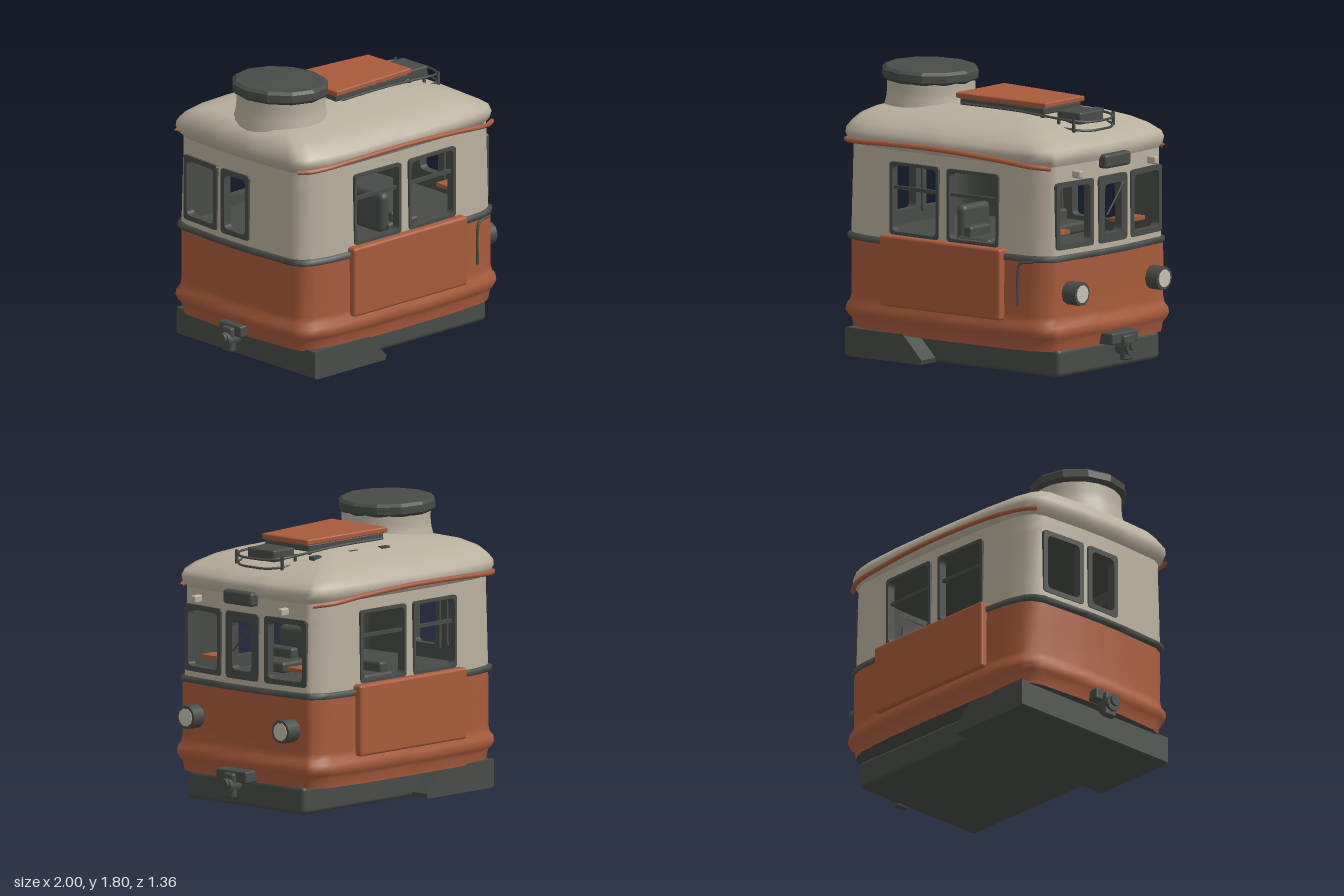
import * as THREE from 'three';
import { RoundedBoxGeometry } from 'three/addons/geometries/RoundedBoxGeometry.js';

const mat = (name, color) => Object.assign(new THREE.MeshStandardMaterial({ color }), { name });

// Half plan of the car body [x, z], from the cab end (+x) to the rear (-x)
const HALF = [
  [.835, 0], [.833, .13], [.828, .2], [.802, .52], [.78, .55], [.73, .587], [.66, .612], [.41, .632], [.02, .64],
  [-.07, .64], [-.45, .635], [-.66, .62], [-.78, .59], [-.84, .55], [-.868, .49], [-.888, .18], [-.89, .12], [-.892, 0],
];
const PLAN = [...HALF, ...HALF.slice(1, -1).reverse().map(([x, z]) => [x, -z])];
const N = PLAN.length;

// Window openings as station ranges
const SIDE_WINDOWS = [[7, 8], [9, 10], [24, 25], [26, 27]];
const CAB_WINDOWS = [[2, 3], [31, 32]], CENTRE_WINDOW = [33, 35];
const REAR_WINDOWS = [[16, 18], [19, 20]];
const END_WINDOWS = [...CAB_WINDOWS, CENTRE_WINDOW, ...REAR_WINDOWS];
const inRanges = (ranges, i) => ranges.some(([s, e]) => (i >= s && i < e) || (i + N >= s && i + N < e));

// Skin through scaled copies of the plan; rings are [y, scaleX, scaleZ, shiftX]
function loft(rings, { inward = false, skip = () => false } = {}) {
  const pos = [], idx = [];
  for (const [y, sx, sz, dx = 0] of rings) for (const [x, z] of PLAN) pos.push(x * sx + dx, y, z * sz);
  for (let j = 0; j < rings.length - 1; j++) for (let i = 0; i < N; i++) {
    if (skip(i, j)) continue;
    const a = j * N + i, b = j * N + (i + 1) % N, c = a + N, d = b + N;
    if (inward) idx.push(a, b, c, b, d, c);
    else idx.push(a, c, b, b, c, d);
  }
  const g = new THREE.BufferGeometry();
  g.setAttribute('position', new THREE.Float32BufferAttribute(pos, 3));
  g.setIndex(idx);
  g.computeVertexNormals();
  return g;
}

// Rounded rectangle outline centred on the origin
function roundRect(path, w, h, r) {
  const x = w / 2, y = h / 2;
  path.moveTo(-x + r, -y);
  path.lineTo(x - r, -y).quadraticCurveTo(x, -y, x, -y + r);
  path.lineTo(x, y - r).quadraticCurveTo(x, y, x - r, y);
  path.lineTo(-x + r, y).quadraticCurveTo(-x, y, -x, y - r);
  path.lineTo(-x, -y + r).quadraticCurveTo(-x, -y, -x + r, -y);
  return path;
}

export function createModel() {
  const car = new THREE.Group();
  car.name = 'tramCar';
  const cream = mat('cream paint', 0xb9af9d);
  const orange = mat('burnt orange paint', 0xa85b3b);
  const dark = mat('dark grey metal', 0x484b47);
  const lens = mat('lamp glass', 0xc4bfb2);

  const add = (name, geo, material, x = 0, y = 0, z = 0, parent = car) => {
    const m = new THREE.Mesh(geo, material);
    m.name = name;
    m.position.set(x, y, z);
    parent.add(m);
    return m;
  };
  const box = (name, material, w, h, d, x, y, z, r = 0) =>
    add(name, r ? new RoundedBoxGeometry(w, h, d, 2, r) : new THREE.BoxGeometry(w, h, d), material, x, y, z);
  const tube = (name, material, pts, r) => add(name, new THREE.TubeGeometry(
    new THREE.CatmullRomCurve3(pts.map(p => new THREE.Vector3(...p))), pts.length * 5, r, 6), material);
  const drumX = (name, material, r, len, x, y, z, sides = 10) => {
    add(name, new THREE.CylinderGeometry(r, r, len, sides), material, x, y, z).rotation.z = -Math.PI / 2;
  };

  // Lower body with bumper lip, and its dark underside
  add('lowerBody', loft([[.17, .975, .99, .01], [.23, .99, 1, .01], [.255, 1.01, 1.03, .01], [.285, 1.022, 1.05, .01],
    [.32, 1.016, 1.045, .01], [.35, .992, 1.02, .01], [.39, .985, 1.01, .01], [.55, .985, 1.012, .01],
    [.74, .988, 1.005, .01]]), orange);
  add('underside', loft([[.17, 0, 0, .01], [.17, .975, .99, .01]]), dark);
  add('beltRail', loft([[.728, .98, .99], [.733, 1.008, 1.02], [.765, 1.008, 1.02], [.772, .98, .97]]), dark);

  // Upper walls with openings, dark lining, floor and ceiling
  const skip = (i, j) => (j === 1 || j === 2) && inRanges(SIDE_WINDOWS, i) || j === 1 && inRanges(END_WINDOWS, i);
  const wall = [[.74, .988, .985], [.815, .988, .983], [1.215, .98, .968], [1.25, .98, .967], [1.34, .978, .965]];
  add('upperWalls', loft(wall, { skip }), cream);
  add('wallLining', loft(wall.map(([y, a, b]) => [y, a - .035, b - .045]), { skip, inward: true }), dark);
  add('cabinFloor', loft([[.745, .95, .94], [.745, 0, 0]]), dark);
  add('cabinCeiling', loft([[1.33, 0, 0], [1.33, .94, .93]]), dark);

  // Domed roof with rolled eaves, sloping away further at the cab end
  add('roof', loft([[1.33, .978, .965], [1.36, 1, 1.01, -.005], [1.395, 1.012, 1.025, -.01], [1.43, 1.002, 1.012, -.018],
    [1.47, .955, .95, -.04], [1.51, .88, .85, -.08], [1.545, .785, .69, -.105], [1.575, .58, .48, -.09],
    [1.595, .35, .28, -.08], [1.6, 0, 0, -.08]]), cream);

  // Window frames, with a cross bar on the side windows
  const frame = ([s, e], border, y0, y1, bar) => {
    const p = PLAN[s % N], q = PLAN[e % N], dx = q[0] - p[0], dz = q[1] - p[1];
    const w = Math.hypot(dx, dz) + .015, h = y1 - y0;
    const shape = roundRect(new THREE.Shape(), w, h, .025);
    shape.holes.push(roundRect(new THREE.Path(), w - 2 * border, h - 2 * border, .035));
    const g = new THREE.Group();
    g.name = 'window';
    g.position.set((p[0] + q[0]) / 2 * .982, (y0 + y1) / 2, (p[1] + q[1]) / 2 * .975);
    g.rotation.y = Math.atan2(dz, -dx);
    car.add(g);
    const geo = new THREE.ExtrudeGeometry(shape, { depth: .055, bevelEnabled: false, curveSegments: 4 });
    add('windowFrame', geo, dark, 0, 0, -.043, g);
    if (bar) add('windowBar', new THREE.BoxGeometry(w - border, .022, .02), dark, 0, .065, -.02, g);
  };
  SIDE_WINDOWS.forEach(r => frame(r, .02, .8, 1.26, true));
  [...CAB_WINDOWS, ...REAR_WINDOWS].forEach(r => frame(r, .033, .805, 1.228, false));
  frame(CENTRE_WINDOW, .056, .805, 1.228, false);

  for (const s of [1, -1]) {
    // Raised side panels and eave stripes
    box('sidePanel', orange, .97, .45, .08, -.015, .575, s * .64, .018);
    tube('eaveStripe', orange, [[.785, 1.325, s * .56], [.68, 1.335, s * .625], [.4, 1.358, s * .648], [0, 1.375, s * .656],
      [-.45, 1.37, s * .65], [-.7, 1.358, s * .628], [-.82, 1.352, s * .59], [-.865, 1.352, s * .55]], .016);
    // Headlamps
    drumX('headlampHousing', dark, .075, .12, .85, .53, s * .405);
    drumX('headlampLens', lens, .057, .008, .91, .53, s * .405);
    // Roof brackets, seats and dashboards
    box('eaveBracket', cream, .07, .05, .04, .845, 1.275, s * .37, .012);
    box('dashboard', orange, .12, .025, .2, .64, .885, s * .37);
    box('seatBase', dark, .26, .07, .28, .1, .78, s * .35, .02);
    box('armRest', dark, .07, .12, .2, .045, .82, s * .38, .02);
  }
  box('driverSeatBack', dark, .075, .26, .27, -.025, .875, .33, .035);
  box('destinationBox', dark, .09, .09, .25, .83, 1.323, 0, .02);
  tube('wiper', dark, [[.83, 1.17, -.1], [.835, 1.08, -.02], [.835, .98, .07]], .006);
  tube('handrail', dark, [[.7, .735, .625], [.6, .72, .64], [.585, .66, .642], [.585, .45, .642]], .009);

  // Skirt: narrow front section and wider rear section with a sloped end
  box('frontSkirt', dark, 1.14, .18, 1, .23, .09, 0, .03);
  const skirt = new THREE.Shape([[-.8, .01], [-.78, 0], [-.2, 0], [-.19, .03], [-.34, .18], [-.8, .18]]
    .map(p => new THREE.Vector2(...p)));
  add('rearSkirt', new THREE.ExtrudeGeometry(skirt, { depth: 1.26, bevelEnabled: false }), dark, 0, 0, -.62);

  // Couplers at both ends
  for (const s of [1, -1]) {
    box('couplerPlate', dark, .12, .075, s > 0 ? .26 : .2, s * .87, .21, 0, .012);
    box('couplerHook', dark, .05, .16, .09, s * .935, .15, 0, .015);
    drumX('couplerHead', dark, .052, .1, s * .93, .15, 0, 8);
    drumX('couplerPin', dark, .035, .06, s * .97, .165, 0, 8);
  }

  // Roof drum with a broad, slightly tilted cap
  const neck = [[.295, 1.48], [.285, 1.56], [.275, 1.6], [.27, 1.65], [.272, 1.73]].map(p => new THREE.Vector2(...p));
  add('drumNeck', new THREE.LatheGeometry(neck, 24), cream, -.565, 0, .08).scale.z = 1.05;
  const rim = [[0, -.045], [.28, -.045], [.3, -.025], [.3, .02], [.28, .038], [0, .043]].map(p => new THREE.Vector2(...p));
  const capGeo = new THREE.LatheGeometry(rim, 12).toNonIndexed();
  capGeo.computeVertexNormals();
  const cap = add('drumCap', capGeo, dark, -.572, 1.748, .08);
  cap.scale.z = 1.05;
  cap.rotation.z = -.035;

  // Tapered roof hatch on a dark base
  const hatch = (name, material, x0, x1, z0, z1, y, h) => {
    const s = new THREE.Shape([[x0, -z0], [x1, -z1], [x1, z1], [x0, z0]].map(p => new THREE.Vector2(...p)));
    const g = new THREE.ExtrudeGeometry(s, { depth: h - .016, bevelSize: .014, bevelThickness: .008, bevelSegments: 2 });
    add(name, g.rotateX(-Math.PI / 2), material, 0, y + .008, 0).rotation.z = -.012;
  };
  hatch('hatchLid', orange, -.225, .425, .225, .182, 1.628, .038);
  hatch('hatchBase', dark, -.21, .405, .2, .17, 1.585, .045);

  // Roof rail, trolley box and small roof fittings
  for (const y of [1.525, 1.58]) {
    tube('roofRail', dark, [[-.2, y + .02, .235], [.2, y + .015, .215], [.45, y, .2], [.65, y - .01, .19], [.72, y - .02, .12],
      [.74, y - .02, 0], [.72, y - .02, -.12], [.65, y - .01, -.19], [.45, y, -.2], [.2, y + .015, -.215], [-.2, y + .02, -.235]], .008);
  }
  for (const s of [1, -1]) for (const x of [.3, .42, .55, .67]) box('railPost', dark, .016, .09, .016, x, 1.54, s * .195);
  box('trolleyBox', dark, .19, .075, .23, .565, 1.572, 0, .012);
  for (const [x, z] of [[-.1, -.34], [.15, -.3], [.47, -.29]]) box('roofFitting', dark, .07, .03, .04, x, 1.56, z);

  return car;
}
